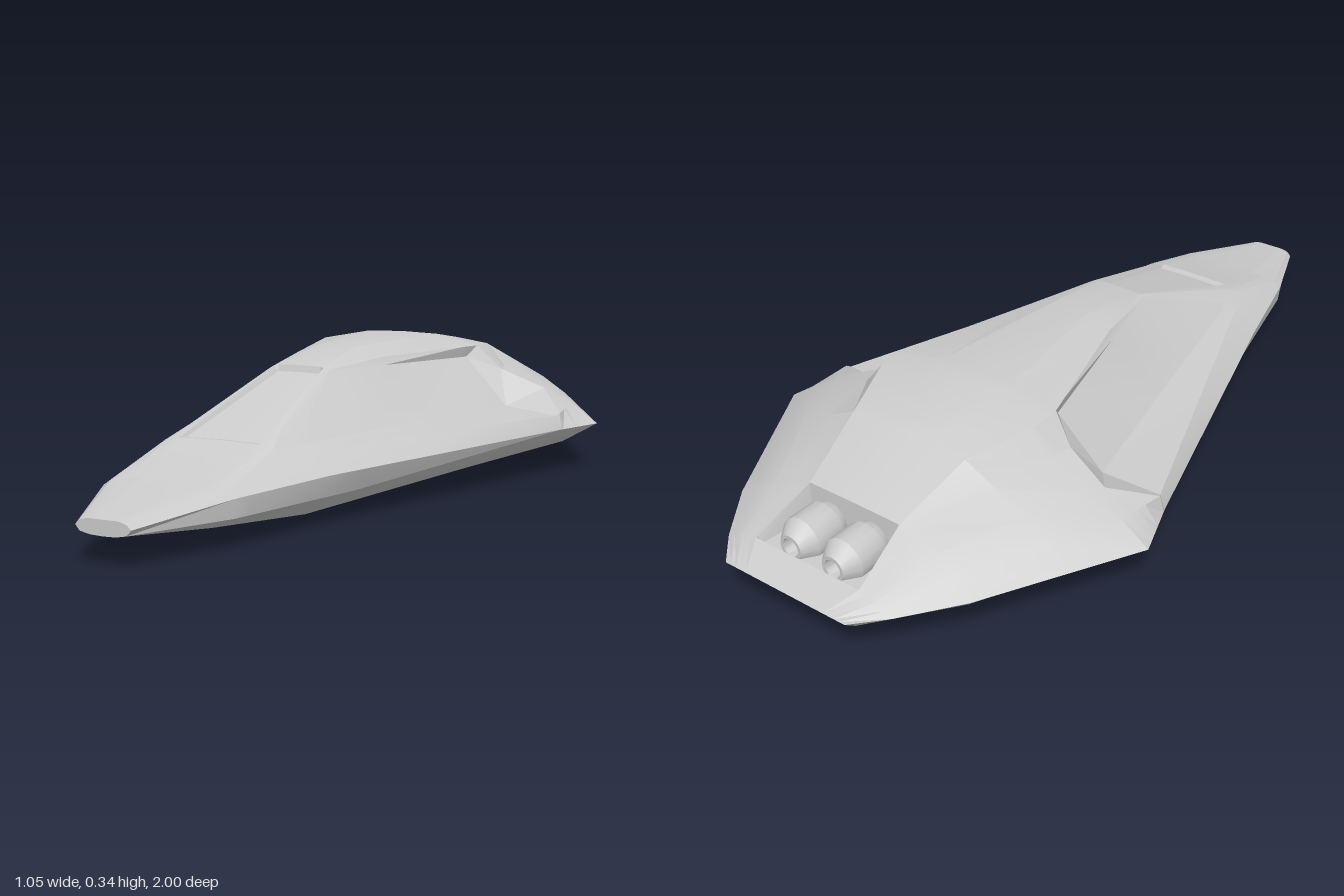
import * as THREE from 'three';
import { toCreasedNormals } from 'three/addons/utils/BufferGeometryUtils.js';

// Each rail is a lengthwise edge of the left half: [z, x, y] from nose to tail.
const keel = [[1, 0, 0.062], [0.73, 0, 0.03], [0.4, 0, 0], [-0.7, 0, 0], [-0.95, 0, 0.065]];
const bottomEdge = [[1, 0.03, 0.063], [0.73, 0.08, 0.032], [0.4, 0.12, 0], [-0.42, 0.25, 0], [-0.7, 0.13, 0], [-0.95, 0.09, 0.065]];
const bevel = [[1, 0.055, 0.068], [0.77, 0.155, 0.066], [-0.42, 0.44, 0.065], [-0.76, 0.29, 0.065], [-0.95, 0.15, 0.068]];
const chine = [[1, 0.065, 0.08], [0.77, 0.16, 0.108], [0.5, 0.235, 0.115], [-0.3, 0.475, 0.115], [-0.44, 0.525, 0.115],
  [-0.8, 0.33, 0.115], [-0.93, 0.235, 0.115], [-1, 0.17, 0.115]];

// Sunken flank ahead of the rear shell
const shelfEdge = [[1, 0.055, 0.09], [0.77, 0.14, 0.122], [0.57, 0.15, 0.165], [-0.3, 0.462, 0.15]];
const wallBase = [[1, 0.045, 0.093], [0.77, 0.11, 0.128], [0.57, 0.135, 0.176], [-0.32, 0.32, 0.163]];
const wallTop = [[1, 0.035, 0.095], [0.75, 0.09, 0.131], [0.57, 0.122, 0.181], [0.2, 0.078, 0.298], [-0.33, 0.205, 0.283]];

// Rear shell, starting at its raised lip
const shellLow = [[-0.31, 0.468, 0.155], [-0.44, 0.455, 0.165], [-0.6, 0.385, 0.165], [-0.78, 0.285, 0.155], [-0.93, 0.215, 0.125], [-1, 0.155, 0.115]];
const shellMid = [[-0.41, 0.39, 0.203], [-0.6, 0.32, 0.208], [-0.78, 0.23, 0.183], [-0.93, 0.19, 0.136], [-1, 0.14, 0.115]];
const shellHigh = [[-0.385, 0.28, 0.25], [-0.6, 0.24, 0.248], [-0.78, 0.17, 0.2], [-0.93, 0.165, 0.142], [-1, 0.125, 0.115]];

// Roof, with steps for the windscreen recess and the engine bay
const roofEdge = [[1, 0.025, 0.095], [0.75, 0.07, 0.132], [0.57, 0.1, 0.183], [0.2, 0.064, 0.305], [0, 0.115, 0.311], [-0.36, 0.222, 0.31],
  [-0.44, 0.22, 0.308], [-0.6, 0.16, 0.288], [-0.78, 0.128, 0.211], [-0.93, 0.148, 0.147], [-1, 0.11, 0.115]];
const crown = [[1, 0.02, 0.095], [0.75, 0.06, 0.132], [0.57, 0.095, 0.183], [0.55, 0.094, 0.181], [0.205, 0.056, 0.29], [0.2, 0.056, 0.306],
  [0, 0.05, 0.335], [-0.38, 0.1, 0.333], [-0.57, 0.08, 0.306], [-0.78, 0.122, 0.212], [-0.785, 0.12, 0.135],
  [-0.925, 0.14, 0.13], [-0.93, 0.142, 0.147], [-1, 0.1, 0.115]];
const ridge = [[1, 0, 0.095], [0.75, 0, 0.133], [0.57, 0, 0.185], [0.55, 0, 0.183], [0.205, 0, 0.291], [0.2, 0, 0.307],
  [0, 0, 0.336], [-0.38, 0, 0.336], [-0.57, 0, 0.31], [-0.78, 0, 0.213], [-0.785, 0, 0.135],
  [-0.925, 0, 0.13], [-0.93, 0, 0.147], [-1, 0, 0.115]];

// Point on a rail at z, held at the rail's own ends
function at(rail, z) {
  const last = rail[rail.length - 1];
  if (z >= rail[0][0]) return new THREE.Vector3(rail[0][1], rail[0][2], rail[0][0]);
  if (z <= last[0]) return new THREE.Vector3(last[1], last[2], last[0]);
  const i = rail.findIndex((p) => p[0] <= z);
  const [a, b] = [rail[i - 1], rail[i]];
  const t = (z - a[0]) / (b[0] - a[0]);
  return new THREE.Vector3(a[1] + (b[1] - a[1]) * t, a[2] + (b[2] - a[2]) * t, z);
}

// Part of a rail between two z values
function cut(rail, from, to) {
  const end = (z) => { const p = at(rail, z); return [p.z, p.x, p.y]; };
  return [end(from), ...rail.filter((p) => p[0] < from && p[0] > to), end(to)];
}

// Adds a triangle and its mirror image, skipping collapsed ones
function tri(out, a, b, c) {
  if (new THREE.Triangle(a, b, c).getArea() < 1e-7) return;
  for (const p of [a, b, c]) out.push(p.x, p.y, p.z);
  for (const p of [a, c, b]) out.push(-p.x, p.y, p.z);
}

// Skin between two rows of points, the first nearer the nose
function bridge(out, front, back) {
  for (let i = 0; i < front.length - 1; i++) {
    tri(out, front[i], back[i], back[i + 1]);
    tri(out, front[i], back[i + 1], front[i + 1]);
  }
}

function loft(rails) {
  const out = [];
  const zs = [...new Set(rails.flat().map((p) => p[0]))].sort((a, b) => b - a);
  for (let s = 0; s < zs.length - 1; s++) {
    bridge(out, rails.map((r) => at(r, zs[s])), rails.map((r) => at(r, zs[s + 1])));
  }
  return out;
}

function cap(rails, z, centre, flip) {
  const out = [];
  const ring = rails.map((r) => at(r, z));
  for (let i = 0; i < ring.length - 1; i++) {
    if (flip) tri(out, centre, ring[i + 1], ring[i]);
    else tri(out, centre, ring[i], ring[i + 1]);
  }
  return out;
}

export function createModel() {
  const group = new THREE.Group();
  const material = new THREE.MeshStandardMaterial({ color: 0xcccccc });

  const add = (name, positions, crease = 0.3) => {
    const geometry = new THREE.BufferGeometry();
    geometry.setAttribute('position', new THREE.Float32BufferAttribute(positions, 3));
    const mesh = new THREE.Mesh(toCreasedNormals(geometry, crease), material);
    mesh.name = name;
    group.add(mesh);
  };

  const lower = [keel, bottomEdge, bevel, chine];
  const flank = [cut(chine, 1, -0.3), shelfEdge, wallBase, wallTop, cut(roofEdge, 1, -0.36)];
  const shell = [cut(chine, -0.3, -1), shellLow, shellMid, shellHigh, cut(roofEdge, -0.36, -1)];
  const roof = [roofEdge, crown, ridge];

  add('lowerHull', loft(lower));
  add('cabinFlanks', loft(flank));
  add('rearShell', loft(shell));
  add('roof', loft(roof));

  // Raised lip where the rear shell meets the sunken flanks
  const lip = [];
  bridge(lip, flank.map((r) => at(r, -2)), shell.map((r) => at(r, 2)));
  add('shellLip', lip, 0.1);

  add('noseCap', cap([...lower, shelfEdge, wallBase, wallTop, ...roof], 1, new THREE.Vector3(0, 0.08, 1), false));
  add('tailCap', cap([...lower, shellLow, shellMid, shellHigh, ...roof], -1, new THREE.Vector3(0, 0.1, -0.985), true));

  // Twin engine pods sitting in the bay, tapering to the rear
  const profile = [[0, 0], [0.045, 0], [0.054, 0.02], [0.054, 0.09], [0.03, 0.125], [0.022, 0.125], [0.018, 0.1], [0, 0.1]];
  const podGeometry = toCreasedNormals(
    new THREE.LatheGeometry(profile.map((p) => new THREE.Vector2(...p)), 16).rotateX(-Math.PI / 2), 0.5);
  for (const side of [1, -1]) {
    const pod = new THREE.Mesh(podGeometry, material);
    pod.name = side > 0 ? 'leftEnginePod' : 'rightEnginePod';
    pod.position.set(side * 0.06, 0.15, -0.79);
    group.add(pod);
  }
  return group;
}
